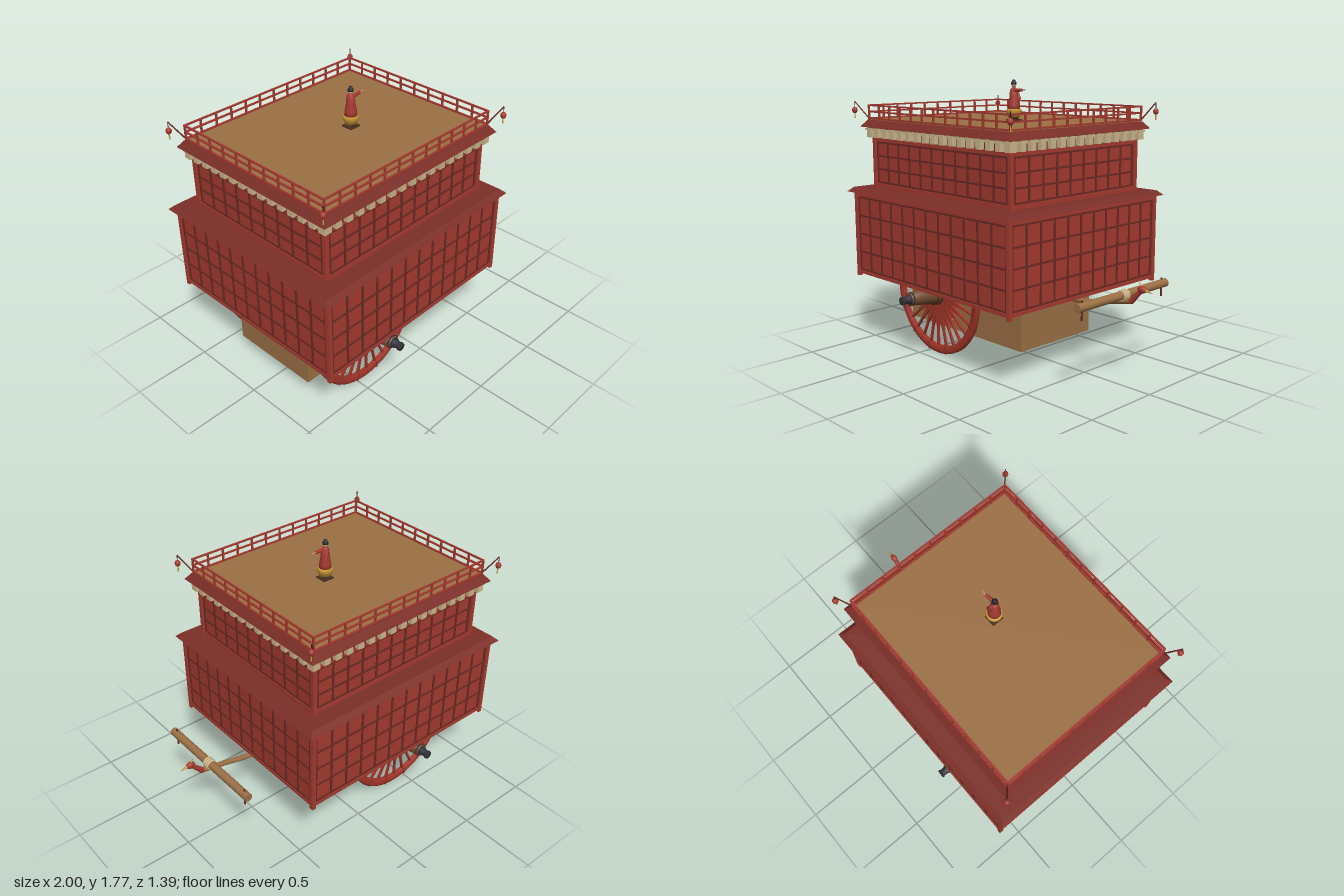
import * as THREE from 'three';

const RED = 0xa63a30, DARK = 0x6e2a24, ROOF = 0x7c2f28, WOOD = 0x9c7045, CREAM = 0xcdb68c,
  IRON = 0x33343a, BROWN = 0x744a2f, GOLD = 0xc89a35, WHEEL = 0xa03428;
const CX = -0.22; // middle of the carriage body

const mats = {};
const mat = (color) => (mats[color] ??= new THREE.MeshStandardMaterial({ color }));

function add(parent, name, geo, color, x = 0, y = 0, z = 0) {
  const m = new THREE.Mesh(geo, mat(color));
  m.name = name;
  m.position.set(x, y, z);
  parent.add(m);
  return m;
}
const box = (p, name, color, w, h, d, x, y, z) => add(p, name, new THREE.BoxGeometry(w, h, d), color, x, y, z);

function group(parent, name, x = 0, y = 0, z = 0) {
  const g = new THREE.Group();
  g.name = name;
  g.position.set(x, y, z);
  parent.add(g);
  return g;
}

// Straight round bar between two points
function rod(p, name, color, a, b, r0, r1 = r0, sides = 10) {
  const A = new THREE.Vector3(...a), B = new THREE.Vector3(...b), d = B.clone().sub(A);
  const m = add(p, name, new THREE.CylinderGeometry(r1, r0, d.length(), sides), color);
  m.position.copy(A).add(B).multiplyScalar(0.5);
  m.quaternion.setFromUnitVectors(new THREE.Vector3(0, 1, 0), d.normalize());
  return m;
}

const lathe = (pts, n = 24) => new THREE.LatheGeometry(pts.map(([r, y]) => new THREE.Vector2(r, y)), n);

// Box whose top is drawn in, for hipped eaves
function frustum(w, h, d, topW, topD) {
  const g = new THREE.BoxGeometry(w, h, d).toNonIndexed(), p = g.attributes.position;
  for (let i = 0; i < p.count; i++) if (p.getY(i) > 0)
    p.setXYZ(i, Math.sign(p.getX(i)) * topW / 2, h / 2, Math.sign(p.getZ(i)) * topD / 2);
  g.computeVertexNormals();
  return g;
}

// Runs fn once for each of the four sides; local +z is outward
function fourSides(parent, name, hx, hz, nx, nz, fn) {
  for (let i = 0; i < 4; i++) {
    const along = i % 2 === 0;
    const g = group(parent, name, CX);
    g.rotation.y = i * Math.PI / 2;
    fn(g, along ? hx : hz, along ? hz : hx, along ? nx : nz);
  }
}

// One storey: solid core, lattice on every wall, frame and corner posts
function storey(parent, name, hx, hz, y0, y1, margin, low, high, nx, nz, rows) {
  const s = group(parent, name), h = y1 - y0, cy = (y0 + y1) / 2;
  box(s, 'walls', RED, hx * 2 - 0.03, h - 0.02, hz * 2 - 0.03, CX, cy + 0.01, 0);
  fourSides(s, 'latticeWall', hx, hz, nx, nz, (g, half, out, cols) => {
    const w = half - margin, z = out - 0.015;
    for (let i = 0; i <= cols; i++)
      box(g, 'latticeUpright', DARK, 0.012, high - low, 0.014, -w + (2 * w * i) / cols, (low + high) / 2, z);
    for (let j = 0; j <= rows; j++)
      box(g, 'latticeRail', DARK, 2 * w, 0.012, 0.012, 0, low + ((high - low) * j) / rows, z);
    box(g, 'sill', RED, 2 * half - 0.03, low - y0 - 0.015, 0.02, 0, (y0 + low) / 2, z);
    box(g, 'header', RED, 2 * half - 0.03, y1 - high - 0.015, 0.02, 0, (y1 + high) / 2, z);
  });
  for (const sx of [-1, 1]) for (const sz of [-1, 1])
    box(s, 'cornerPost', RED, 0.026, h + 0.01, 0.026, CX + sx * (hx - 0.013), cy - 0.005, sz * (hz - 0.013));
}

function wheel(parent, side) {
  const g = group(parent, 'wheel', -0.415, 0.405, side * 0.405);
  if (side < 0) g.rotation.y = Math.PI;
  const rim = add(g, 'rim', lathe([[0.352, -0.013], [0.39, -0.015], [0.404, -0.008], [0.404, 0.008],
    [0.39, 0.015], [0.352, 0.013], [0.352, -0.013]], 64), WHEEL);
  rim.rotation.x = Math.PI / 2;
  // Spokes flare into a leaf shape near the hub
  const s = new THREE.Shape();
  const half = [[0.05, 0.006], [0.12, 0.013], [0.16, 0.016], [0.2, 0.012], [0.25, 0.005], [0.36, 0.007]];
  half.forEach(([r, w], i) => (i ? s.lineTo(r, w) : s.moveTo(r, w)));
  [...half].reverse().forEach(([r, w]) => s.lineTo(r, -w));
  const spoke = new THREE.ExtrudeGeometry(s, { depth: 0.016, bevelEnabled: false }).translate(0, 0, -0.008);
  for (let i = 0; i < 28; i++) add(g, 'spoke', spoke, WHEEL).rotation.z = (i / 28) * Math.PI * 2;
  for (let i = 0; i < 14; i++) {
    const a = (i / 14) * Math.PI * 2;
    box(g, 'rimJoint', DARK, 0.054, 0.004, 0.031, Math.cos(a) * 0.378, Math.sin(a) * 0.378, 0).rotation.z = a;
  }
  // Long tapering hub with bands and an iron cap
  const hub = add(g, 'hub', lathe([[0, -0.095], [0.06, -0.095], [0.07, -0.05], [0.073, 0.01], [0.066, 0.06],
    [0.052, 0.14], [0.038, 0.225], [0, 0.225]], 28), BROWN);
  hub.rotation.x = Math.PI / 2;
  for (const [r, z] of [[0.063, -0.085], [0.068, -0.06], [0.072, -0.03], [0.073, 0.02], [0.067, 0.05], [0.04, 0.215]])
    add(g, 'hubBand', new THREE.TorusGeometry(r, 0.005, 6, 28), r < 0.05 ? IRON : 0x54331f, 0, 0, z);
  const cap = add(g, 'axleCap', lathe([[0, 0.22], [0.03, 0.22], [0.03, 0.24], [0.024, 0.245], [0.023, 0.275],
    [0.028, 0.277], [0.026, 0.288], [0, 0.288]], 20), IRON);
  cap.rotation.x = Math.PI / 2;
}

function figure(parent) {
  const f = group(parent, 'pointingFigure', -0.12, 1.51, 0);
  box(f, 'plinth', 0x4a3020, 0.075, 0.008, 0.075, 0, 0.004, 0);
  for (const s of [-1, 1]) box(f, 'shoe', 0x2a2320, 0.03, 0.024, 0.016, 0.004, 0.018, s * 0.014);
  add(f, 'skirt', lathe([[0, 0.022], [0.036, 0.022], [0.05, 0.06], [0.044, 0.075], [0, 0.078]], 16), GOLD);
  add(f, 'robe', lathe([[0, 0.06], [0.041, 0.06], [0.036, 0.1], [0.028, 0.15], [0.025, 0.19], [0.012, 0.208], [0, 0.21]], 16), RED);
  add(f, 'head', new THREE.SphereGeometry(0.015, 14, 10), 0xc49a78, 0, 0.222, 0);
  add(f, 'hat', lathe([[0, 0.227], [0.018, 0.227], [0.018, 0.236], [0.012, 0.245], [0.009, 0.255], [0, 0.257]], 14), 0x24242a);
  rod(f, 'pointingSleeve', RED, [0.01, 0.19, 0.008], [0.075, 0.193, 0], 0.013, 0.009);
  rod(f, 'pointingHand', 0xc49a78, [0.07, 0.193, 0], [0.105, 0.196, 0], 0.005, 0.003, 8);
  rod(f, 'restingSleeve', RED, [0, 0.192, -0.022], [0.022, 0.135, -0.026], 0.01, 0.012);
}

function cornerLantern(parent, sx, sz) {
  const x = CX + sx * 0.735, z = sz * 0.63;
  const g = group(parent, 'cornerLantern');
  rod(g, 'bracketPole', DARK, [CX + sx * 0.665, 1.51, sz * 0.565], [x, 1.625, z], 0.005, 0.004, 6);
  rod(g, 'cord', 0x33231c, [x, 1.62, z], [x, 1.58, z], 0.002, 0.002, 5);
  add(g, 'lantern', new THREE.SphereGeometry(0.018, 14, 10), RED, x, 1.568, z).scale.y = 1.15;
  rod(g, 'tassel', GOLD, [x, 1.548, z], [x, 1.515, z], 0.003, 0.005, 6);
}

function drawPole(parent) {
  const g = group(parent, 'drawPole');
  const path = new THREE.CatmullRomCurve3([[0.2, 0.455], [0.38, 0.452], [0.52, 0.455], [0.66, 0.487], [0.86, 0.53]]
    .map(([x, y]) => new THREE.Vector3(x, y, 0)));
  add(g, 'shaft', new THREE.TubeGeometry(path, 32, 0.017, 12), WOOD);
  box(g, 'shaftSocket', BROWN, 0.03, 0.06, 0.07, 0.265, 0.453, 0);
  rod(g, 'yoke', WOOD, [0.795, 0.553, -0.4], [0.795, 0.553, 0.4], 0.026, 0.026, 16);
  for (const z of [-0.018, 0, 0.018]) {
    add(g, 'yokeBinding', new THREE.TorusGeometry(0.028, 0.008, 8, 20), CREAM, 0.795, 0.55, z);
  }
  for (const s of [-1, 1]) rod(g, 'yokePeg', DARK, [0.795, 0.59, s * 0.36], [0.795, 0.475, s * 0.36], 0.006, 0.006, 8);
  // Bird head finial
  rod(g, 'birdNeck', RED, [0.85, 0.525, 0], [0.92, 0.6, 0], 0.019, 0.013, 12);
  add(g, 'birdHead', new THREE.SphereGeometry(0.022, 16, 12), RED, 0.928, 0.61, 0).scale.set(1.35, 1, 0.85);
  rod(g, 'birdBeak', GOLD, [0.945, 0.61, 0], [1, 0.6, 0], 0.01, 0.001, 8);
  rod(g, 'birdCrest', GOLD, [0.925, 0.625, 0], [0.905, 0.655, 0], 0.007, 0.001, 6);
}

// Wooden chest under the body, open below, with the gear framing inside
function chassis(parent) {
  const g = group(parent, 'chassis');
  const y = 0.315, h = 0.34, t = 0.012;
  for (const s of [-1, 1]) {
    box(g, 'sideBoard', WOOD, 1.08, h, t, -0.28, y, s * (0.307 - t / 2));
    box(g, 'endBoard', WOOD, t, h, 0.6, -0.28 + s * (0.54 - t / 2), y, 0);
    box(g, 'longBeam', BROWN, 1.05, 0.035, 0.03, -0.28, 0.44, s * 0.13);
  }
  box(g, 'crossBeam', WOOD, 0.06, 0.05, 0.6, -0.05, 0.37, 0);
  box(g, 'gearBearing', WOOD, 0.16, 0.05, 0.14, -0.12, 0.31, 0);
  rod(g, 'verticalAxle', BROWN, [-0.12, 0.22, 0], [-0.12, 0.49, 0], 0.018);
  rod(g, 'axle', BROWN, [-0.415, 0.405, -0.33], [-0.415, 0.405, 0.33], 0.03, 0.03, 14);
  // Floor of the body, with an opening above the pole
  for (const s of [-1, 1]) box(g, 'floor', 0x5a4128, 1.42, 0.012, 0.325, CX, 0.492, s * 0.4675);
  box(g, 'floor', 0x5a4128, 1.19, 0.012, 0.62, -0.335, 0.491, 0);
}

function beadString(parent, side, beadColor) {
  const g = group(parent, 'beadString', -0.325, 0, side * 0.36);
  rod(g, 'cord', 0x33231c, [0, 0.49, 0], [0, 0.24, 0], 0.003, 0.003, 6);
  for (let i = 0; i < 6; i++)
    add(g, 'bead', new THREE.SphereGeometry(0.012, 10, 8), i % 2 ? CREAM : beadColor, 0, 0.47 - i * 0.024, 0);
  for (let i = 0; i < 4; i++)
    rod(g, 'tasselLink', CREAM, [0, 0.33 - i * 0.026, 0], [0, 0.308 - i * 0.026, 0], 0.01, 0.007, 8);
}

export function createModel() {
  const m = new THREE.Group();
  m.name = 'twoStoreyCart';

  storey(m, 'lowerStorey', 0.742, 0.652, 0.48, 1.04, 0.035, 0.515, 1.0, 12, 11, 4);
  add(m, 'lowerEaves', frustum(1.555, 0.03, 1.365, 1.49, 1.3), ROOF, -0.2225, 1.05, 0);
  storey(m, 'upperStorey', 0.655, 0.555, 1.06, 1.4, 0.04, 1.1, 1.36, 11, 9, 3);

  // Bracket course under the upper eaves
  box(m, 'bracketCore', DARK, 1.3, 0.07, 1.1, CX, 1.425, 0);
  fourSides(m, 'bracketRow', 0.68, 0.58, 17, 15, (g, half, out, n) => {
    for (let i = 0; i < n; i++) {
      const x = -half + 0.02 + ((2 * half - 0.04) * i) / (n - 1);
      box(g, 'bracketBlock', CREAM, 0.042, 0.045, 0.05, x, 1.415, out - 0.025);
      box(g, 'bracketCap', CREAM, 0.058, 0.016, 0.06, x, 1.446, out - 0.025);
    }
    box(g, 'bracketBeam', BROWN, 2 * half, 0.012, 0.05, 0, 1.458, out - 0.025);
  });
  add(m, 'upperEaves', frustum(1.42, 0.045, 1.22, 1.35, 1.15), ROOF, CX, 1.483, 0);
  box(m, 'roofDeck', WOOD, 1.33, 0.008, 1.13, CX, 1.506, 0);

  // Balustrade round the roof deck
  fourSides(m, 'balustrade', 0.667, 0.567, 12, 10, (g, half, out, n) => {
    for (let i = 0; i <= n; i++)
      box(g, 'baluster', RED, 0.011, 0.09, 0.011, -half + (2 * half * i) / n, 1.553, out);
    for (const y of [1.515, 1.558, 1.599]) box(g, 'handrail', RED, 2 * half + 0.01, 0.01, 0.01, 0, y, out);
  });
  for (const sx of [-1, 1]) for (const sz of [-1, 1]) cornerLantern(m, sx, sz);

  figure(m);
  chassis(m);
  drawPole(m);
  for (const s of [-1, 1]) {
    wheel(m, s);
    beadString(m, s, s > 0 ? 0xd9832b : 0x3a62b0);
  }
  return m;
}
